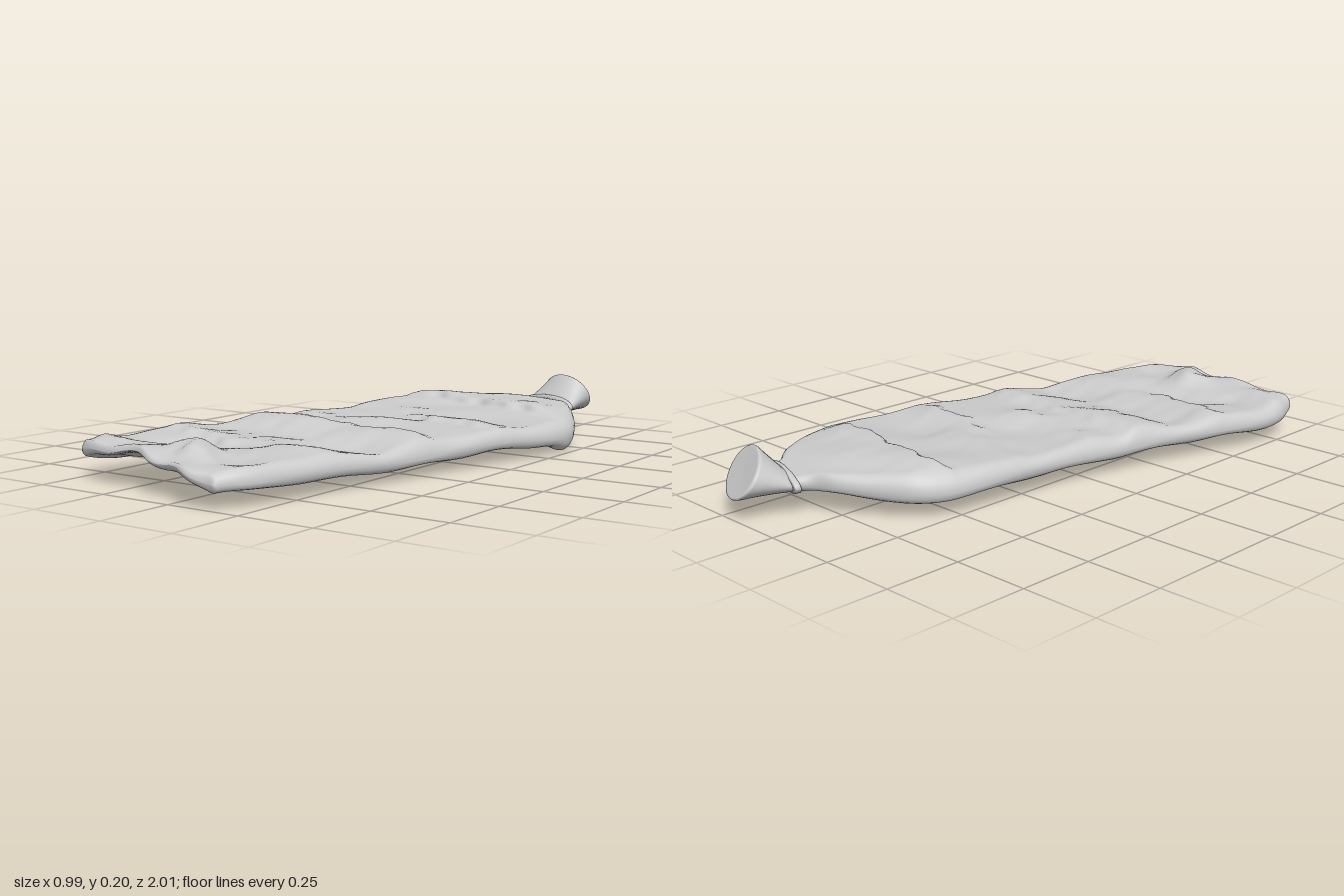
import * as THREE from 'three';

const V = (x, y, z) => new THREE.Vector3(x, y, z);
const material = new THREE.MeshStandardMaterial({ color: 0xcccccc, side: THREE.DoubleSide });

// Skin over closed rings of equal length, ordered counter-clockwise seen from the last ring
function loft(name, rings) {
  const m = rings[0].length, index = [];
  const positions = rings.flat().flatMap(p => [p.x, p.y, p.z]);
  for (let i = 0; i < rings.length - 1; i++) {
    for (let j = 0; j < m; j++) {
      const a = i * m + j, b = i * m + (j + 1) % m, c = a + m, d = b + m;
      index.push(a, b, c, b, d, c);
    }
  }
  const geometry = new THREE.BufferGeometry();
  geometry.setAttribute('position', new THREE.Float32BufferAttribute(positions, 3));
  geometry.setIndex(index);
  geometry.computeVertexNormals();
  const mesh = new THREE.Mesh(geometry, material);
  mesh.name = name;
  return mesh;
}

// Outline of the flattened body from neck to base:
// left x, left z, right x, right z, top y, bottom y
const rows = [
  [0.10, -0.83, 0.28, -0.79, 0.125, 0.085],
  [0.07, -0.80, 0.29, -0.76, 0.130, 0.075],
  [0.00, -0.77, 0.34, -0.71, 0.140, 0.062],
  [-0.10, -0.70, 0.40, -0.62, 0.145, 0.045],
  [-0.20, -0.62, 0.455, -0.52, 0.142, 0.036],
  [-0.245, -0.54, 0.488, -0.43, 0.136, 0.030],
  [-0.27, -0.43, 0.490, -0.34, 0.128, 0.034],
  [-0.295, -0.20, 0.45, -0.12, 0.126, 0.044],
  [-0.33, 0.03, 0.395, 0.12, 0.130, 0.046],
  [-0.39, 0.28, 0.34, 0.38, 0.127, 0.045],
  [-0.45, 0.48, 0.29, 0.60, 0.124, 0.043],
  [-0.49, 0.66, 0.25, 0.79, 0.130, 0.044],
  [-0.495, 0.78, 0.215, 0.91, 0.130, 0.052],
  [-0.47, 0.865, 0.17, 0.985, 0.128, 0.066],
];

// Folds: x0, z0, x1, z1, height, width to the back, width to the front
const topFolds = [
  [-0.14, -0.52, 0.34, -0.44, 0.022, 0.13, 0.016],
  [-0.22, -0.27, 0.10, -0.22, 0.008, 0.08, 0.04],
  [0.08, -0.13, 0.30, -0.09, 0.020, 0.10, 0.025],
  [-0.25, 0.04, 0.05, 0.07, 0.014, 0.08, 0.05],
  [-0.33, 0.18, 0.28, 0.22, 0.016, 0.03, 0.09],
  [-0.30, 0.36, 0.25, 0.42, -0.012, 0.05, 0.05],
  [-0.36, 0.52, -0.14, 0.59, 0.018, 0.08, 0.025],
  [0.00, 0.55, 0.18, 0.60, 0.012, 0.06, 0.05],
  [-0.30, 0.70, -0.16, 0.62, -0.014, 0.05, 0.05],
  [-0.08, 0.80, -0.03, 0.86, 0.032, 0.05, 0.04],
  [0.02, 0.74, 0.12, 0.84, -0.014, 0.05, 0.05],
  [-0.44, 0.80, -0.36, 0.82, 0.014, 0.05, 0.04],
];
const bottomFolds = [
  [0.40, -0.45, 0.46, -0.40, -0.026, 0.08, 0.06],
  [0.24, -0.54, 0.30, -0.52, -0.055, 0.04, 0.04],
  [-0.15, -0.40, 0.20, -0.32, 0.006, 0.06, 0.06],
  [-0.20, -0.10, 0.30, -0.06, 0.006, 0.05, 0.06],
  [-0.25, 0.12, 0.20, 0.16, -0.012, 0.05, 0.05],
  [0.00, 0.60, 0.01, 0.60, -0.075, 0.04, 0.04],
  [-0.28, 0.62, -0.15, 0.66, -0.055, 0.05, 0.06],
  [-0.30, 0.78, 0.05, 0.82, -0.012, 0.04, 0.05],
];
function foldHeight(folds, x, z) {
  const wobble = 0.009 * Math.sin(31 * x + 4 * z) + 0.005 * Math.sin(67 * x + 1);
  let sum = 0;
  for (const [x0, z0, x1, z1, h, back, front] of folds) {
    const dx = x1 - x0, dz = z1 - z0;
    const k = THREE.MathUtils.clamp(((x - x0) * dx + (z - z0) * dz) / (dx * dx + dz * dz), 0, 1);
    const ox = x - x0 - k * dx, oz = z - z0 - k * dz + wobble;
    const w = oz < 0 ? back : front;
    sum += h * Math.exp(-(ox * ox) / 0.005 - (oz * oz) / (w * w));
  }
  return sum;
}

// Flat oval section: f = place on the flat part (-1..1), c and s = rounding across and up
const section = [];
const FLAT = 44, ARC = 10;
for (const side of [1, -1]) {
  for (let i = 0; i < ARC; i++) {
    const a = (i / ARC - 0.5) * Math.PI;
    section.push({ f: side, c: side * Math.cos(a), s: side * Math.sin(a) });
  }
  for (let i = 0; i < FLAT; i++) section.push({ f: side * (1 - 2 * i / FLAT), c: 0, s: side });
}

function bodyRing(left, right, t, shrink = 1, push = 0) {
  const across = V(right.x - left.x, 0, right.z - left.z);
  const half = across.length() / 2;
  across.normalize();
  const cx = (left.x + right.x) / 2, cz = (left.z + right.z) / 2;
  const mid = (left.y + right.y) / 2, r = (left.y - right.y) / 2;
  const fade = THREE.MathUtils.smoothstep(t, 0.02, 0.2);
  const end = Math.pow(t, 24);
  return section.map(({ f, c, s }) => {
    const d = f * (half - r) + c * r * (0.6 + 0.4 * shrink);
    const x = cx + across.x * d, u = THREE.MathUtils.clamp(d / half, -1, 1);
    let z = cz + across.z * d;
    // Crumpled surface, with the underside pushed in between its rounded rims
    const ripple = 0.004 * Math.sin(19 * z + 5 * x + 2 * Math.sin(7 * x)) + 0.003 * Math.sin(13 * x - 9 * z);
    const hollow = 1.25 * r * (1 - Math.pow(u, 4)) * (s < 0 ? 1 + shrink : 1 - shrink) / 2;
    const fold = foldHeight(s > 0 ? topFolds : bottomFolds, x, z);
    const wave = 0.006 * Math.sin(9 * z + 2 * u) - 0.012 * u * (1 - t * 0.6) + end * 0.007 * Math.sin(27 * x + 1);
    const y = mid + r * s * shrink + fade * (wave + hollow + shrink * Math.abs(s) * (fold + ripple));
    // Ragged lower edge
    const ragged = 0.012 * Math.sin(14 * x + 1.5) + 0.006 * Math.sin(37 * x);
    z += end * (ragged * (1 - u * u) + 0.025 * Math.exp(-Math.pow((x - 0.08) / 0.05, 2)) + push);
    return V(x, Math.max(y, 0.002), z);
  });
}

function buildBody() {
  const leftEdge = new THREE.CatmullRomCurve3(rows.map(r => V(r[0], r[4], r[1])));
  const rightEdge = new THREE.CatmullRomCurve3(rows.map(r => V(r[2], r[5], r[3])));
  const rings = [], N = 150;
  for (let i = 0; i <= N; i++) {
    const t = i / N;
    rings.push(bodyRing(leftEdge.getPoint(t), rightEdge.getPoint(t), t));
  }
  // Pinched, closed base
  const l = leftEdge.getPoint(1), r = rightEdge.getPoint(1);
  for (const [shrink, push] of [[0.8, 0.005], [0.4, 0.009], [0, 0.01]]) rings.push(bodyRing(l, r, 1, shrink, push));
  return loft('crushedBottleBody', rings);
}

// Skewed ellipse around a centre
function ellipse(center, u, v, scale = 1) {
  return Array.from({ length: 48 }, (_, j) => {
    const a = j / 48 * Math.PI * 2;
    return center.clone().addScaledVector(u, scale * Math.cos(a)).addScaledVector(v, scale * Math.sin(a));
  });
}

// Screw cap, round at its tilted top and squashed flat at the neck
function buildCap() {
  const topC = V(0.217, 0.145, -0.943), topU = V(0.1, 0, 0.033), topV = V(0, 0.07, 0.054);
  const baseC = V(0.193, 0.105, -0.822), baseU = V(0.108, 0, 0.028), baseV = V(0, 0.03, 0.004);
  const at = (k, scale) => ellipse(topC.clone().lerp(baseC, k), topU.clone().lerp(baseU, k), topV.clone().lerp(baseV, k), scale);
  return loft('cap', [
    at(0.02, 0), at(0.01, 0.5), at(0, 0.88), at(0, 0.95), at(0.03, 0.99), at(0.08, 1.01),
    at(0.35, 1), at(0.65, 1), at(0.93, 1), at(1, 0.98), at(1.02, 0.9), at(1.02, 0),
  ]);
}

// Flattened collar below the cap
function buildCollar() {
  const u = V(0.122, 0, 0.038), v = V(0, 0.036, -0.008);
  const at = (z, scale) => ellipse(V(0.187 - z * 0.2, 0.106, -0.815 + z), u, v, scale);
  return loft('neckCollar', [at(-0.012, 0.7), at(-0.012, 0.94), at(-0.008, 1), at(0.006, 1), at(0.011, 0.94), at(0.011, 0.7)]);
}

export function createModel() {
  const model = new THREE.Group();
  model.name = 'crushedBottle';
  model.add(buildBody(), buildCap(), buildCollar());
  return model;
}
